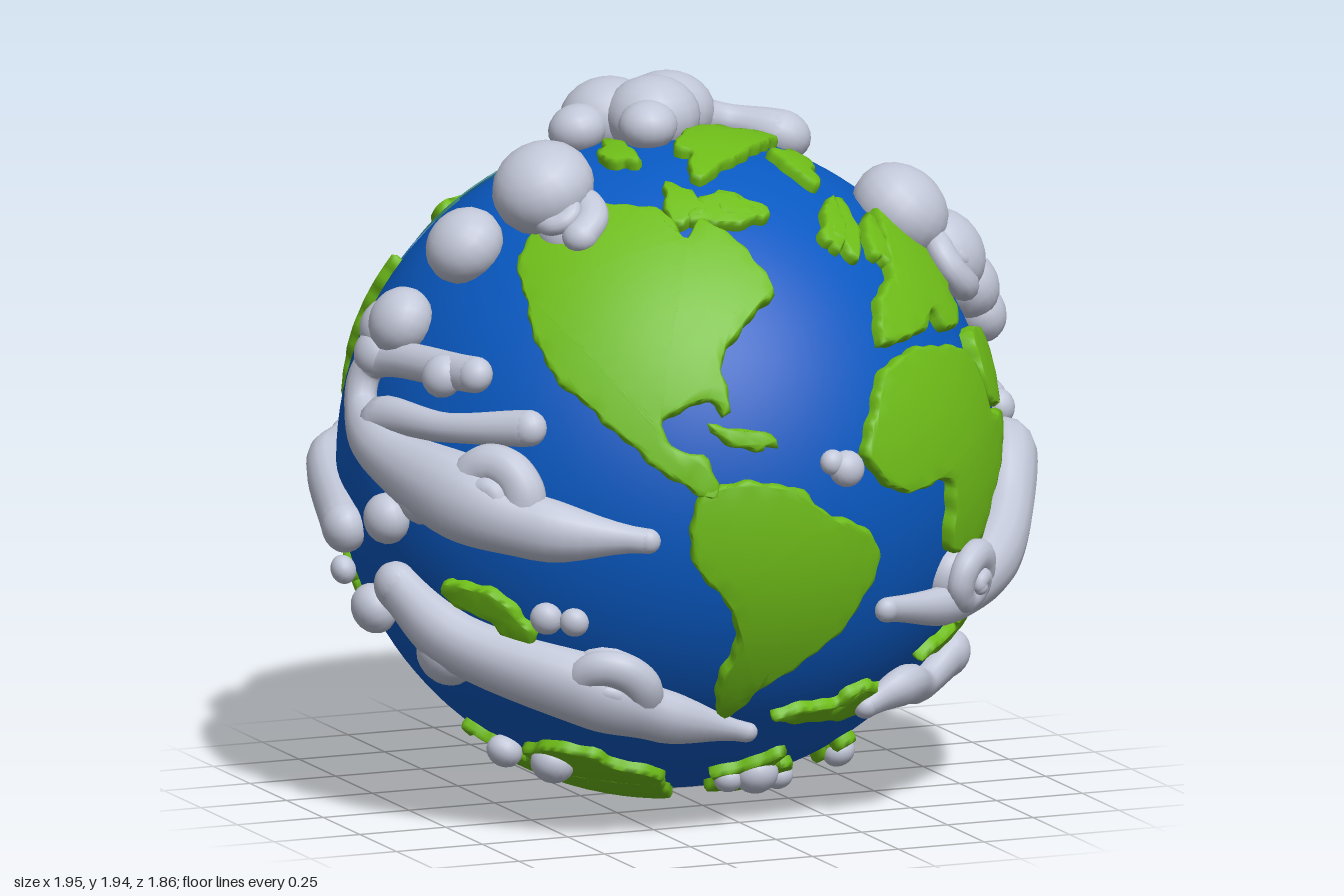
import * as THREE from 'three';
import { mergeGeometries, mergeVertices } from 'three/addons/utils/BufferGeometryUtils.js';

const R = 0.885, CY = 0.9;
const mat = (name, color) => Object.assign(new THREE.MeshStandardMaterial({ color }), { name });
const ocean = mat('ocean blue', 0x0959c2), green = mat('land green', 0x6ebc18), grey = mat('cloud grey', 0xc2c7d8);
const shoal = mat('shallow blue', 0x1f70a8), reef = mat('shallow teal', 0x3d8c7c);

// Flat charts of the globe: azimuth, elevation, centre u, centre v, units per metre
const charts = {
  front: [0, 0, 238, 239, 187], right: [90, 0, 686, 239, 193], top: [0, 90, 1134, 225, 187],
  fr: [35, 25, 238, 680, 166], bl: [215, 25, 685, 678, 166], br: [145, -28, 1137, 678, 166],
};
function dirOn(chart, px, py) {
  const [a, e, cx, cy, s] = charts[chart], A = a * Math.PI / 180, E = e * Math.PI / 180;
  const u = (px - cx) / s, v = (cy - py) / s, w = Math.sqrt(Math.max(0, 0.828 - u * u - v * v));
  const sa = Math.sin(A), ca = Math.cos(A), se = Math.sin(E), ce = Math.cos(E);
  return new THREE.Vector3(ca * u - sa * se * v + sa * ce * w, ce * v + se * w, -sa * u - ca * se * v + ca * ce * w).normalize();
}
const on = (chart, a) => Array.from({ length: a.length / 2 }, (_, i) => dirOn(chart, a[2 * i], a[2 * i + 1]));
const path = (chart, a, lift = 0.035) => Array.from({ length: a.length / 3 }, (_, i) =>
  ({ dir: dirOn(chart, a[3 * i], a[3 * i + 1]), r: a[3 * i + 2] / 100, lift }));

// Lobed outline around a point: half length, half width, tilt in degrees
const blob = (chart, x, y, a, b, tilt, seed) => Array.from({ length: 14 }, (_, i) => {
  const t = i / 14 * Math.PI * 2, k = 0.95 + 0.2 * Math.sin(3 * t + seed * 1.7) + 0.12 * Math.sin(5 * t + seed);
  const p = a * k * Math.cos(t), q = b * k * Math.sin(t), s = tilt * Math.PI / 180;
  return dirOn(chart, x + p * Math.cos(s) + q * Math.sin(s), y - p * Math.sin(s) + q * Math.cos(s));
});

// Curved plate with a rounded rim and a wavy coast
function plate(name, dirs, material, h, bevel = 0.008, wave = 0.004) {
  const c = dirs.reduce((s, d) => s.add(d), new THREE.Vector3()).normalize();
  const e1 = new THREE.Vector3(-c.y, c.x, 0.01).cross(c).normalize(), e2 = c.clone().cross(e1);
  const flat = dirs.map(d => new THREE.Vector2(d.dot(e1), d.dot(e2)).multiplyScalar(Math.sqrt(2 / (1 + d.dot(c)))));
  const curve = new THREE.SplineCurve([...flat, flat[0]]);
  const base = curve.getSpacedPoints(Math.max(24, Math.round(curve.getLength() / 0.018))).slice(0, -1);
  if (THREE.ShapeUtils.isClockWise(base)) base.reverse();
  const n = base.length;
  const grow = (pts, f) => pts.map((p, i) => {
    const t = pts[(i + 1) % n].clone().sub(pts[(i + n - 1) % n]).normalize();
    return new THREE.Vector2(p.x + t.y * f(i), p.y - t.x * f(i));
  });
  const line = grow(base, i => wave * (Math.sin(i * 1.3) + Math.sin(i * 0.57))), outer = grow(line, () => bevel);
  const lift = (p, r) => {
    const q = p.lengthSq(), k = Math.sqrt(Math.max(0, 1 - q / 4));
    return e1.clone().multiplyScalar(p.x * k).addScaledVector(e2, p.y * k).addScaledVector(c, 1 - q / 2).multiplyScalar(r);
  };
  const pos = [], tri = (...p) => p.forEach(v => pos.push(v.x, v.y, v.z));
  const split = (a, b, d) => {
    const l = [a.distanceTo(b), b.distanceTo(d), d.distanceTo(a)], m = Math.max(...l);
    if (m < 0.07) return tri(lift(a, R + h), lift(b, R + h), lift(d, R + h));
    const [p, q, o] = m === l[0] ? [a, b, d] : m === l[1] ? [b, d, a] : [d, a, b];
    const mid = p.clone().add(q).multiplyScalar(0.5);
    split(p, mid, o); split(mid, q, o);
  };
  for (const [i, j, k] of THREE.ShapeUtils.triangulateShape(line, [])) {
    const [a, b, d] = [line[i], line[j], line[k]];
    if ((b.x - a.x) * (d.y - a.y) - (b.y - a.y) * (d.x - a.x) > 0) split(a, b, d); else split(a, d, b);
  }
  const rings = [line.map(p => lift(p, R + h)), outer.map(p => lift(p, R + h * 0.6)), outer.map(p => lift(p, R - 0.01))];
  for (let k = 0; k < 2; k++) for (let i = 0; i < n; i++) {
    const j = (i + 1) % n, a = rings[k], b = rings[k + 1];
    tri(b[i], b[j], a[j]); tri(b[i], a[j], a[i]);
  }
  let g = new THREE.BufferGeometry().setAttribute('position', new THREE.Float32BufferAttribute(pos, 3));
  g = mergeVertices(g, 1e-5);
  g.computeVertexNormals();
  return Object.assign(new THREE.Mesh(g, material), { name });
}

// Puff: a ball pressed against the globe
function puff({ dir, r, lift }) {
  const g = new THREE.SphereGeometry(r, 18, 12).deleteAttribute('uv').scale(1, 0.85, 1);
  g.applyQuaternion(new THREE.Quaternion().setFromUnitVectors(new THREE.Vector3(0, 1, 0), dir));
  return g.translate(...dir.clone().multiplyScalar(R + lift).toArray());
}
// Swept roll of cloud with changing thickness and round ends
function roll(pts) {
  const curve = new THREE.CatmullRomCurve3(pts.map(p => p.dir.clone().multiplyScalar(R + p.lift)));
  const N = pts.length * 6, M = 14, pos = [], idx = [];
  for (let i = 0; i <= N; i++) {
    const t = i / N, f = t * (pts.length - 1), k = Math.min(Math.floor(f), pts.length - 2);
    const r = THREE.MathUtils.lerp(pts[k].r, pts[k + 1].r, THREE.MathUtils.smoothstep(f - k, 0, 1));
    const p = curve.getPoint(t), T = curve.getTangent(t), up = p.clone().normalize();
    const B = T.clone().cross(up).normalize(), U = B.clone().cross(T);
    for (let j = 0; j < M; j++) {
      const a = j / M * Math.PI * 2;
      pos.push(...p.clone().addScaledVector(B, r * Math.cos(a)).addScaledVector(U, r * 0.85 * Math.sin(a)).toArray());
      if (i < N) {
        const q = i * M + j, s = i * M + (j + 1) % M;
        idx.push(q, q + M, s, s, q + M, s + M);
      }
    }
  }
  const g = new THREE.BufferGeometry().setAttribute('position', new THREE.Float32BufferAttribute(pos, 3));
  g.setIndex(idx); g.computeVertexNormals();
  return mergeGeometries([g, puff(pts[0]), puff(pts[pts.length - 1])]);
}
// Curled roll on a round cushion
function coil(chart, px, py, size, turn = 1) {
  const c = dirOn(chart, px, py), e1 = new THREE.Vector3(0, 1, 0).cross(c).normalize(), e2 = c.clone().cross(e1);
  const pts = Array.from({ length: 15 }, (_, k) => {
    const a = turn * k * 0.72 - 0.6, f = 1 - k / 15, d = size * 0.72 * f;
    return { dir: c.clone().addScaledVector(e1, d * Math.cos(a)).addScaledVector(e2, d * Math.sin(a)).normalize(),
      r: size * (0.14 + 0.28 * f), lift: 0.04 + 0.06 * (1 - f) };
  });
  return mergeGeometries([puff({ dir: c, r: size * 0.75, lift: 0 }), roll(pts)]);
}

export function createModel() {
  const model = new THREE.Group(), globe = new THREE.Group();
  globe.name = 'globe'; globe.position.y = CY; model.add(globe);
  globe.add(Object.assign(new THREE.Mesh(new THREE.SphereGeometry(R, 96, 64), ocean), { name: 'ocean' }));
  const land = (name, dirs, h = 0.035) => globe.add(plate(name, dirs, green, h));

  // Continents
  land('northWestContinent', on('front', [133, 118, 160, 97, 198, 95, 206, 107, 219, 99, 240, 125, 228, 138, 206, 157, 204, 184, 194, 177,
    172, 188, 178, 204, 191, 206, 194, 226, 170, 211, 146, 186, 128, 160]));
  land('southWestContinent', on('front', [190, 222, 212, 220, 236, 224, 250, 236, 283, 256, 274, 288, 254, 310, 231, 326, 214, 344,
    207, 330, 210, 293, 184, 254]));
  land('southEastContinent', on('fr', [184, 715, 203, 686, 232, 679, 272, 688, 282, 714, 301, 718, 276, 750, 262, 767, 238, 764,
    236, 738, 200, 735]));
  land('peninsula', on('fr', [285, 678, 309, 679, 300, 709, 284, 704]));
  land('northEastContinent', on('fr', [210, 671, 219, 655, 240, 642, 270, 613, 300, 620, 310, 645, 283, 655, 280, 668, 262, 673,
    254, 662, 240, 671]));
  land('backContinent', [
    ...on('bl', [584, 626, 597, 584, 610, 582, 616, 615, 634, 634, 662, 632, 692, 635, 676, 662, 684, 710, 640, 735, 630, 770, 634, 795]),
    ...on('br', [1215, 715, 1191, 690, 1196, 642, 1214, 616, 1165, 575, 1145, 557])], 0.05);

  // Islands: centre, half length, half width, tilt on each chart
  const islands = {
    front: [[231, 95, 17, 6, 0], [290, 107, 11, 6, 50], [212, 197, 16, 4, -15], [290, 347, 14, 7, 10], [104, 291, 22, 6, -40],
      [170, 382, 31, 8, -15], [254, 392, 20, 7, 10], [309, 384, 10, 5, 15]],
    right: [[612, 311, 42, 7, 22], [564, 351, 15, 7, -20], [755, 296, 16, 8, -20], [798, 255, 13, 6, 45], [806, 201, 9, 10, 0],
      [775, 125, 17, 6, 10], [636, 139, 9, 8, 0]],
    top: [[1152, 254, 40, 18, 42], [1143, 159, 27, 7, -25], [1186, 271, 9, 17, 0], [1097, 249, 7, 16, 0], [1108, 306, 9, 13, 0],
      [1136, 313, 14, 7, -30]],
    fr: [[234, 615, 17, 8, 50], [248, 626, 13, 6, 50]],
    bl: [[723, 681, 34, 16, 80], [663, 787, 29, 8, -30], [743, 780, 13, 6, 0]],
    br: [[1166, 668, 31, 11, 50], [1260, 700, 31, 5, 90], [1110, 774, 14, 9, -40], [1059, 793, 9, 6, 0], [1083, 824, 19, 8, -10],
      [1160, 824, 42, 7, 12], [1213, 816, 9, 7, 30]],
  };
  for (const chart in islands)
    islands[chart].forEach((s, i) => land(chart + 'Island' + (i + 1), blob(chart, ...s, i), 0.03));

  // Shallow water, in two thin layers
  const shallows = { right: [[712, 303, 46, 22, -15], [755, 112, 58, 32, -30]], bl: [[692, 640, 38, 66, 0], [592, 608, 34, 36, 0]] };
  for (const chart in shallows) shallows[chart].forEach(([x, y, a, b, tilt], i) => {
    globe.add(plate(chart + 'Shoal' + (i + 1), blob(chart, x, y, a, b, tilt, i), shoal, 0.004, 0, 0));
    if (y > 500 || y < 200) globe.add(plate(chart + 'Reef' + (i + 1), blob(chart, x, y, a * 0.65, b * 0.7, tilt, i + 2), reef, 0.008, 0, 0));
  });

  // Clouds: position and thickness along each roll
  const cloud = (name, ...geos) => globe.add(Object.assign(new THREE.Mesh(mergeGeometries(geos), grey), { name }));
  const puffs = (chart, a, lift) => path(chart, a, lift).map(puff);
  cloud('upperLeftCloud', ...puffs('top', [1053, 268, 14], 0.09), ...puffs('top', [1016, 248, 11, 986, 238, 9.5], 0.04),
    coil('top', 1054, 286, 0.12));
  cloud('upperRightCloud', ...puffs('top', [1239, 273, 14, 1262, 272, 13], 0.04), coil('top', 1258, 284, 0.13, -1));
  cloud('smallRightCloud', ...puffs('right', [656, 156, 10, 660, 172, 8.5], 0.05));
  cloud('longRightCloud', roll([...path('front', [292, 292, 3.5, 342, 297, 6, 372, 283, 9.5]),
    ...path('right', [612, 266, 9, 640, 243, 10, 660, 242, 8])]), coil('front', 345, 286, 0.13));
  cloud('backRightCloud', roll(path('right', [697, 232, 5, 748, 208, 7, 768, 180, 5, 785, 165, 5.5, 812, 160, 7])),
    ...puffs('right', [654, 220, 5, 679, 222, 7, 770, 139, 6, 767, 252, 6]));
  cloud('leftCloud', roll(path('front', [163, 247, 3.5, 118, 243, 9, 92, 232, 12, 72, 215, 8, 66, 195, 5, 76, 178, 5, 102, 172, 5])),
    coil('front', 101, 229, 0.16), ...puffs('front', [80, 157, 8, 72, 250, 7, 92, 175, 6]));
  cloud('lowerLeftCloud', roll(path('front', [228, 354, 3, 182, 342, 8, 152, 330, 11, 96, 308, 9, 78, 285, 7])),
    coil('front', 155, 327, 0.15), ...puffs('front', [124, 290, 4.5, 135, 291, 4]));
  cloud('backLeftCloud', roll(path('bl', [718, 738, 3, 745, 742, 6.5, 800, 738, 7])),
    ...puffs('bl', [780, 765, 4, 800, 763, 7, 825, 760, 9, 800, 658, 7]),
    roll(path('bl', [836, 632, 5, 830, 655, 4, 816, 678, 6, 832, 690, 7])));
  cloud('lowerRightCloud', roll(path('front', [296, 348, 3.5, 318, 340, 6, 340, 346, 5, 360, 334, 6.5])), ...puffs('right', [613, 338, 7]));
  cloud('polarCloud', ...puffs('top', [1094, 208, 8, 1115, 196, 13, 1148, 193, 13, 1130, 217, 13, 1120, 235, 8], 0.045),
    roll(path('top', [1150, 195, 8, 1178, 196, 5.5, 1202, 212, 8])));
  cloud('equatorCloud', ...puffs('front', [258, 212, 3.5, 266, 216, 5], 0.02));
  cloud('southCloud', ...puffs('front', [140, 376, 5, 155, 379, 6, 236, 387, 4, 250, 385, 6, 268, 390, 4, 306, 383, 4.5], 0.03),
    ...puffs('right', [725, 392, 5.5], 0.02));
  return model;
}
